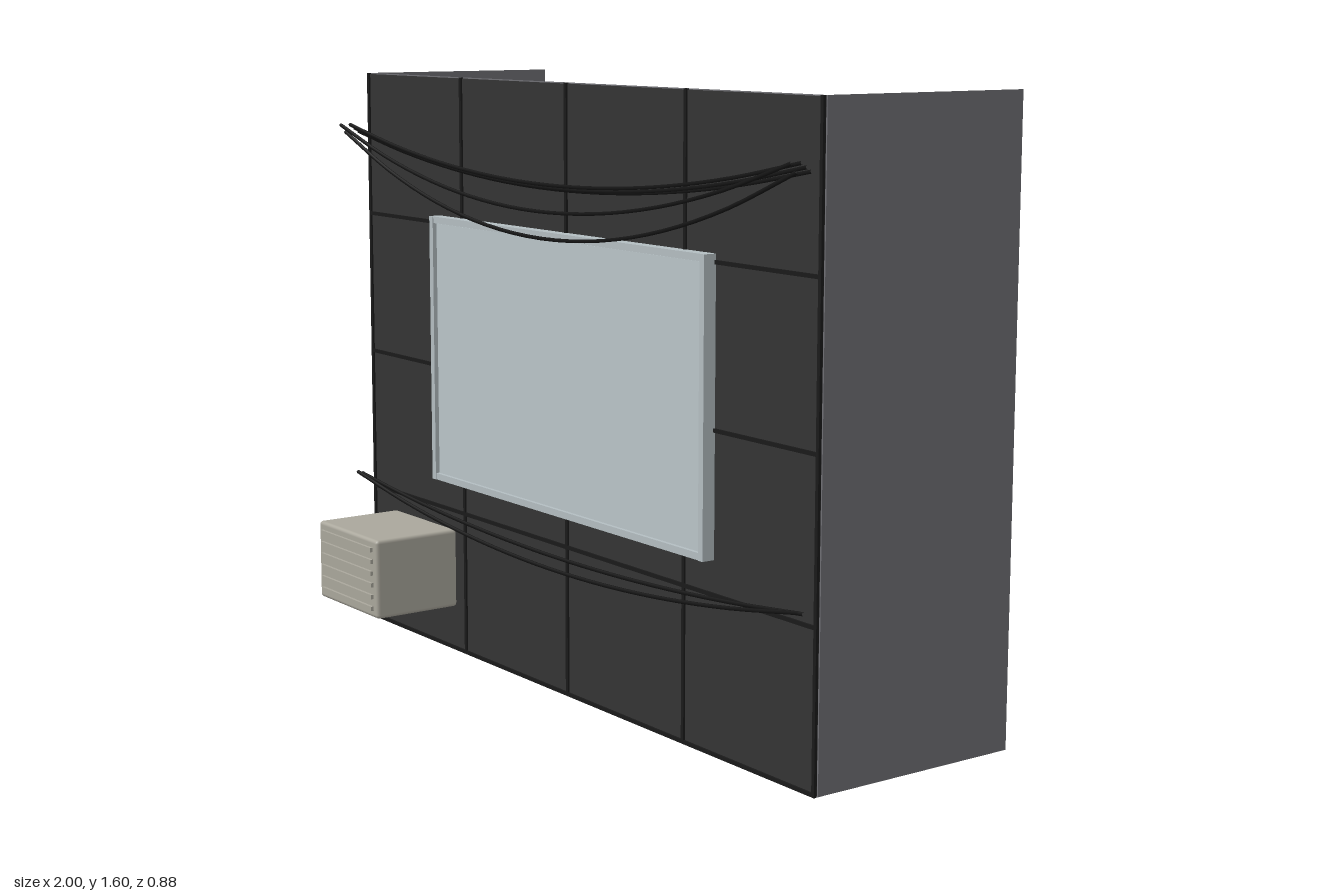
import * as THREE from 'three';
import { RoundedBoxGeometry } from 'three/addons/geometries/RoundedBoxGeometry.js';

const material = (name, color, side = THREE.FrontSide) => {
  const m = new THREE.MeshStandardMaterial({ color, side });
  m.name = name;
  return m;
};

export function createModel() {
  const model = new THREE.Group();
  model.name = 'facadeSection';

  const wallGrey = material('wallGrey', 0x6f6f74, THREE.DoubleSide);
  const panelDark = material('panelDark', 0x343434);
  const jointBlack = material('jointBlack', 0x1a1a1a);
  const glassBlue = material('glassBlue', 0xbac5c9);
  const frameGrey = material('frameGrey', 0xb4bec2);
  const cableBlack = material('cableBlack', 0x141414);
  const unitBeige = material('unitBeige', 0xaaa79c);

  const add = (name, geometry, mat, x, y, z, parent = model) => {
    const mesh = new THREE.Mesh(geometry, mat);
    mesh.name = name;
    mesh.position.set(x, y, z);
    parent.add(mesh);
    return mesh;
  };
  const box = (name, mat, w, h, d, x, y, z, parent) =>
    add(name, new THREE.BoxGeometry(w, h, d), mat, x, y, z, parent);

  // Thin front wall and the two return walls
  const front = 0.16;
  add('frontWall', new THREE.PlaneGeometry(2, 1.6), wallGrey, 0, 0.8, front);
  for (const side of [-1, 1]) {
    const wall = add(side > 0 ? 'leftWall' : 'rightWall',
      new THREE.PlaneGeometry(0.6, 1.6), wallGrey, side * 0.999, 0.8, front - 0.3);
    wall.rotation.y = side * Math.PI / 2;
  }

  // Cladding panels, four by four
  const cladding = new THREE.Group();
  cladding.name = 'cladding';
  model.add(cladding);
  for (let i = 0; i < 4; i++) {
    for (let j = 0; j < 4; j++) {
      box('claddingPanel', panelDark, 0.494, 0.394, 0.006,
        -0.75 + i * 0.5, 0.2 + j * 0.4, front + 0.004, cladding);
    }
  }

  // Raised joints between the panels
  for (let i = 0; i <= 4; i++) {
    const x = THREE.MathUtils.clamp(-1 + i * 0.5, -0.995, 0.995);
    box('verticalJoint', jointBlack, 0.01, 1.6, 0.008, x, 0.8, front + 0.008, cladding);
  }
  for (let j = 0; j < 4; j++) {
    box('horizontalJoint', jointBlack, 2, 0.01, 0.008,
      0, Math.max(j * 0.4, 0.005), front + 0.008, cladding);
  }

  // Window: pane with a slightly proud frame
  const windowGroup = new THREE.Group();
  windowGroup.name = 'window';
  model.add(windowGroup);
  box('windowPane', glassBlue, 1.2, 0.7, 0.028, 0, 0.85, front + 0.016, windowGroup);
  for (const side of [-1, 1]) {
    box('frameUpright', frameGrey, 0.018, 0.735, 0.04,
      side * 0.608, 0.8525, front + 0.022, windowGroup);
    box('frameRail', frameGrey, 1.2, 0.018, 0.038,
      0, 0.8525 + side * 0.3585, front + 0.021, windowGroup);
  }

  // Sagging cables: [height at the ends, lowest height, depth]
  const cables = [
    [1.455, 1.28, 0.26], [1.435, 1.21, 0.245], [1.455, 1.345, 0.23],
    [1.445, 1.336, 0.215], [1.435, 1.332, 0.202],
    [0.445, 0.35, 0.224], [0.44, 0.38, 0.21],
  ];
  for (const [high, low, z] of cables) {
    const points = [];
    for (let i = 0; i <= 8; i++) {
      const x = -1 + i / 4;
      points.push(new THREE.Vector3(x, low + (high - low) * x * x, z));
    }
    add('cable', new THREE.TubeGeometry(new THREE.CatmullRomCurve3(points), 32, 0.005, 6),
      cableBlack, 0, 0, 0);
  }

  // Outdoor cooling unit with front slats
  const unit = new THREE.Group();
  unit.name = 'coolingUnit';
  unit.position.set(-0.7, 0.24, 0.302);
  model.add(unit);
  add('unitCase', new RoundedBoxGeometry(0.326, 0.22, 0.256, 2, 0.01), unitBeige, 0, 0, 0, unit);
  for (let i = 0; i < 6; i++) {
    box('slat', unitBeige, 0.28, 0.012, 0.01, 0, -0.083 + i * 0.033, 0.131, unit);
  }

  return model;
}
